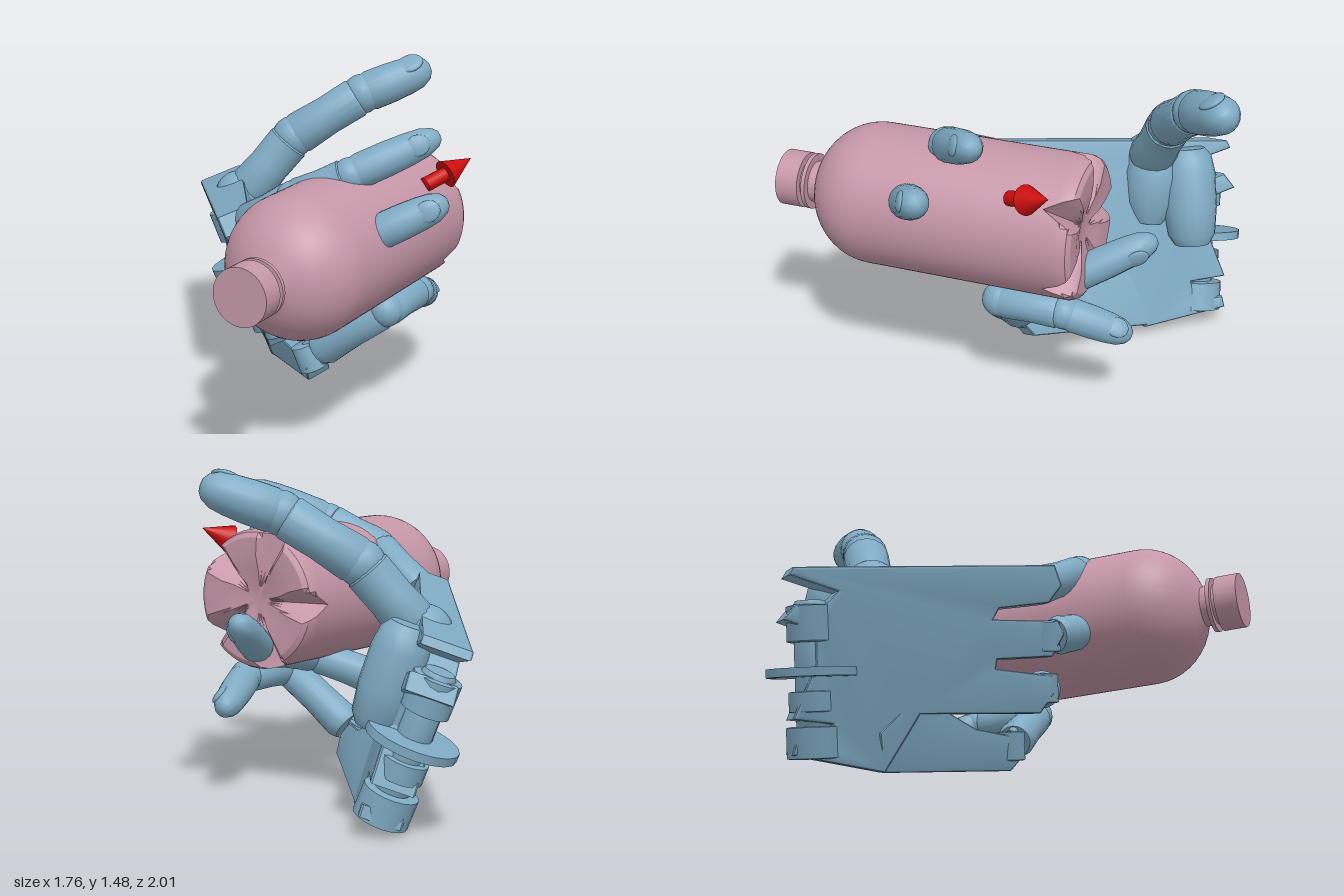
import * as THREE from 'three';
import { toCreasedNormals } from 'three/addons/utils/BufferGeometryUtils.js';

const V = (x, y, z) => new THREE.Vector3(x, y, z);
const UP = V(0, 1, 0);
const ACROSS = V(-0.36, 0.93, 0.11).normalize(); // from little finger to index, along the knuckles
const skin = new THREE.MeshStandardMaterial({ color: 0x7fabc4, side: THREE.DoubleSide });
const pink = new THREE.MeshStandardMaterial({ color: 0xc697a8 });
const red = new THREE.MeshStandardMaterial({ color: 0xcc0c0c });

function add(parent, name, geometry, material) {
  const m = new THREE.Mesh(geometry, material);
  m.name = name;
  parent.add(m);
  return m;
}

// Turned solid from p to q; profile holds [radius, fraction of the length]
function turned(parent, name, p, q, profile, material = skin, sides = 18) {
  const d = q.clone().sub(p), len = d.length();
  const pts = profile.map(([r, t]) => new THREE.Vector2(r, t * len));
  const g = toCreasedNormals(new THREE.LatheGeometry(pts, sides), 0.7);
  const m = add(parent, name, g, material);
  m.position.copy(p);
  m.quaternion.setFromUnitVectors(UP, d.normalize());
  return m;
}
const rod = (parent, name, p, q, r, material = skin) =>
  turned(parent, name, p, q, [[0, 0], [r * 0.85, 0], [r, 0.03], [r, 0.97], [r * 0.85, 1], [0, 1]], material);

// Slab whose outer face lies on the plane n.p = c above an x, y outline; it thins toward the fingers
function slab(parent, name, outline, n, c, thick) {
  const shape = new THREE.Shape(outline.map(([x, y]) => new THREE.Vector2(x, y)));
  const g = new THREE.ExtrudeGeometry(shape, {
    depth: 0.9, bevelEnabled: true, bevelThickness: 0.05, bevelSize: 0.012, bevelOffset: -0.012, bevelSegments: 2,
  });
  const a = g.attributes.position;
  for (let i = 0; i < a.count; i++) {
    const x = a.getX(i), y = a.getY(i), t = thick * (0.68 - 0.55 * x) * (0.95 - a.getZ(i));
    a.setXYZ(i, x - n.x * t, y - n.y * t, (c - n.x * x - n.y * y) / n.z - n.z * t);
  }
  return add(parent, name, toCreasedNormals(g, 0.35), skin);
}

function sphere(parent, name, p, r, scale = [1, 1, 1]) {
  const m = add(parent, name, new THREE.SphereGeometry(r, 18, 12), skin);
  m.position.copy(p);
  m.scale.set(...scale);
  return m;
}

// Finger through its joints: waisted bones, round joints and a tip with a nail
function finger(parent, name, joints, r, knuckle = true) {
  const g = new THREE.Group();
  g.name = name;
  parent.add(g);
  const P = joints.map(j => V(...j)), last = P.length - 1;
  for (let i = 0; i < last; i++) {
    const k = r * (1.04 - 0.06 * i);
    if (i < last - 1) {
      // The first bone stops short of the knuckle, which its two rails reach
      const from = i === 0 && knuckle ? P[0].clone().lerp(P[1], 0.14) : P[i];
      turned(g, 'bone', from, P[i + 1],
        [[0, 0], [k * 0.9, 0.01], [k * 1.06, 0.1], [k * 0.97, 0.5], [k, 0.9], [k * 0.7, 1], [0, 1]]);
      sphere(g, 'joint', P[i + 1], k * 0.98);
    } else {
      turned(g, 'fingertip', P[i], P[i + 1], [[0, 0.04], [k * 0.95, 0.05], [k * 1.05, 0.12], [k * 1.04, 0.4],
        [k * 0.97, 0.65], [k * 0.86, 0.82], [k * 0.6, 0.94], [k * 0.3, 0.99], [0, 1]]);
    }
  }
  // Nail on the outer side of the bend
  const d = P[last].clone().sub(P[last - 1]).normalize();
  const e = P[last - 1].clone().sub(P[last - 2]).normalize();
  const out = e.addScaledVector(d, -e.dot(d)).normalize();
  const nail = sphere(g, 'nail', P[last].clone().lerp(P[last - 1], 0.27).addScaledVector(out, r * 0.7), r,
    [0.58, 0.68, 0.2]);
  nail.quaternion.setFromRotationMatrix(new THREE.Matrix4().makeBasis(d.clone().cross(out), d, out));
  if (knuckle) {
    const w = ACROSS.clone().multiplyScalar(r * 0.85);
    rod(g, 'knuckle', P[0].clone().sub(w), P[0].clone().add(w), r * 0.82);
    for (const s of [-1, 1]) {
      const off = w.clone().multiplyScalar(s * 0.75);
      rod(g, 'knuckleRail', P[0].clone().add(off), P[0].clone().lerp(P[1], 0.26).add(off), r * 0.28);
    }
  }
}

function createBottle() {
  const g = new THREE.Group();
  g.name = 'bottle';
  const pts = [[0, -0.405], [0.06, -0.41], [0.14, -0.43], [0.2, -0.44], [0.28, -0.44], [0.303, -0.425],
    [0.315, -0.395], [0.315, -0.36], [0.315, -0.33], [0.315, -0.3], [0.315, 0.54]];
  for (let i = 1; i <= 9; i++) { // domed shoulder
    const a = (i / 9) * 1.2;
    pts.push([0.315 * Math.cos(a), 0.54 + 0.29 * Math.sin(a)]);
  }
  pts.push([0.092, 0.82], [0.092, 0.857], [0.125, 0.857], [0.125, 0.875], [0.092, 0.875], [0.092, 0.895],
    [0.125, 0.895], [0.125, 1], [0, 1]);
  const geo = new THREE.LatheGeometry(pts.map(p => new THREE.Vector2(...p)), 90);
  geo.rotateX(Math.PI / 2);
  // Five V grooves in the foot
  const a = geo.attributes.position, step = Math.PI * 0.4;
  for (let i = 0; i < a.count; i++) {
    const x = a.getX(i), y = a.getY(i), z = a.getZ(i);
    if (z > -0.3) continue;
    const turn = (Math.atan2(x, y) + 0.349 + 4 * step) / step;
    const off = Math.abs(turn - Math.round(turn)) * step;
    const depth = 0.13 * Math.max(0, 1 - off / 0.24) * Math.min(1, Math.hypot(x, y) / 0.3);
    a.setZ(i, Math.max(z, -0.44 + depth));
  }
  const m = add(g, 'bottleBody', toCreasedNormals(geo, 0.45), pink);
  m.position.set(0.378, 0.875, 0);
  return g;
}

function createHand() {
  const g = new THREE.Group();
  g.name = 'hand';
  const n = V(-0.716, -0.35, 0.603), c = -0.014;
  // Palm with notches between the finger roots
  slab(g, 'palm', [[-0.61, 0.03], [-0.34, 0.0], [-0.33, 0.25], [0, 0.31], [0.01, 0.4], [-0.02, 0.47], [-0.19, 0.47],
    [-0.2, 0.51], [-0.05, 0.55], [-0.05, 0.65], [-0.09, 0.7], [-0.27, 0.67], [-0.27, 0.72], [-0.14, 0.77],
    [-0.13, 0.85], [-0.18, 0.93], [-0.88, 0.775], [-0.88, 0.74], [-0.73, 0.7], [-0.75, 0.61], [-0.82, 0.63],
    [-0.83, 0.56], [-0.73, 0.53], [-0.68, 0.4], [-0.66, 0.17], [-0.55, 0.17], [-0.53, 0.08], [-0.62, 0.08]], n, c, 0.19);
  // Little finger side of the palm, folded inward
  slab(g, 'palmEdge', [[-0.34, 0.0], [0.1, 0.1], [0.12, 0.18], [0.04, 0.24], [-0.1, 0.24], [-0.36, 0.33],
    [-0.42, 0.15]], V(-0.574, -0.4, 0.714), -0.116, 0.19);
  // Rounded thumb mount beside the wrist
  turned(g, 'thumbMount', V(-0.43, 0.42, -0.68), V(-0.56, 0.86, -0.6),
    [[0, 0], [0.08, 0.02], [0.11, 0.12], [0.125, 0.4], [0.125, 0.75], [0.11, 0.92], [0.08, 1], [0, 1]]);
  turned(g, 'thumbRoot', V(-0.42, 0.5, -0.46), V(-0.52, 0.85, -0.46),
    [[0, 0], [0.07, 0.04], [0.12, 0.3], [0.14, 0.7], [0.12, 0.95], [0, 1]]);
  // Wrist hinge
  const w0 = V(-0.5, 0.11, -0.69), along = t => w0.clone().addScaledVector(ACROSS, t);
  rod(g, 'wristPin', along(-0.02), along(0.62), 0.075);
  rod(g, 'wristDisc', along(0.29), along(0.33), 0.2);
  for (const [a, b, r] of [[-0.06, 0.08, 0.12], [0.14, 0.23, 0.105], [0.44, 0.6, 0.105]]) {
    rod(g, 'wristCollar', along(a), along(b), r);
  }

  finger(g, 'indexFinger', [[-0.14, 0.86, 0.17], [0.2, 1.07, 0.275], [0.43, 1.19, 0.2], [0.73, 1.35, -0.05]], 0.08);
  finger(g, 'middleFinger', [[-0.05, 0.65, 0.2], [0.3, 0.82, 0.36], [0.6, 0.98, 0.32], [0.87, 1.13, 0.15]], 0.08);
  finger(g, 'ringFinger', [[0.03, 0.44, 0.16], [0.36, 0.58, -0.02], [0.41, 0.64, -0.36], [0.265, 0.82, -0.7]], 0.078);
  finger(g, 'littleFinger', [[0.1, 0.22, -0.03], [0.48, 0.51, -0.06], [0.49, 0.51, -0.36], [0.4, 0.4, -0.64]], 0.077);
  sphere(g, 'thumbBall', V(-0.52, 0.8, -0.43), 0.125);
  finger(g, 'thumb', [[-0.5, 0.81, -0.44], [-0.31, 1.09, -0.58], [-0.03, 1.3, -0.76], [0.225, 1.42, -0.975]], 0.1, false);
  return g;
}

function createArrow() {
  const g = new THREE.Group();
  g.name = 'arrow';
  const neck = V(0.665, 1.12, -0.25);
  rod(g, 'arrowShaft', V(0.61, 1.085, -0.155), neck, 0.033, red);
  turned(g, 'arrowHead', neck, V(0.73, 1.175, -0.37), [[0, 0], [0.065, 0], [0, 1]], red);
  return g;
}

export function createModel() {
  const model = new THREE.Group();
  model.name = 'handHoldingBottle';
  model.add(createHand(), createBottle(), createArrow());
  return model;
}
